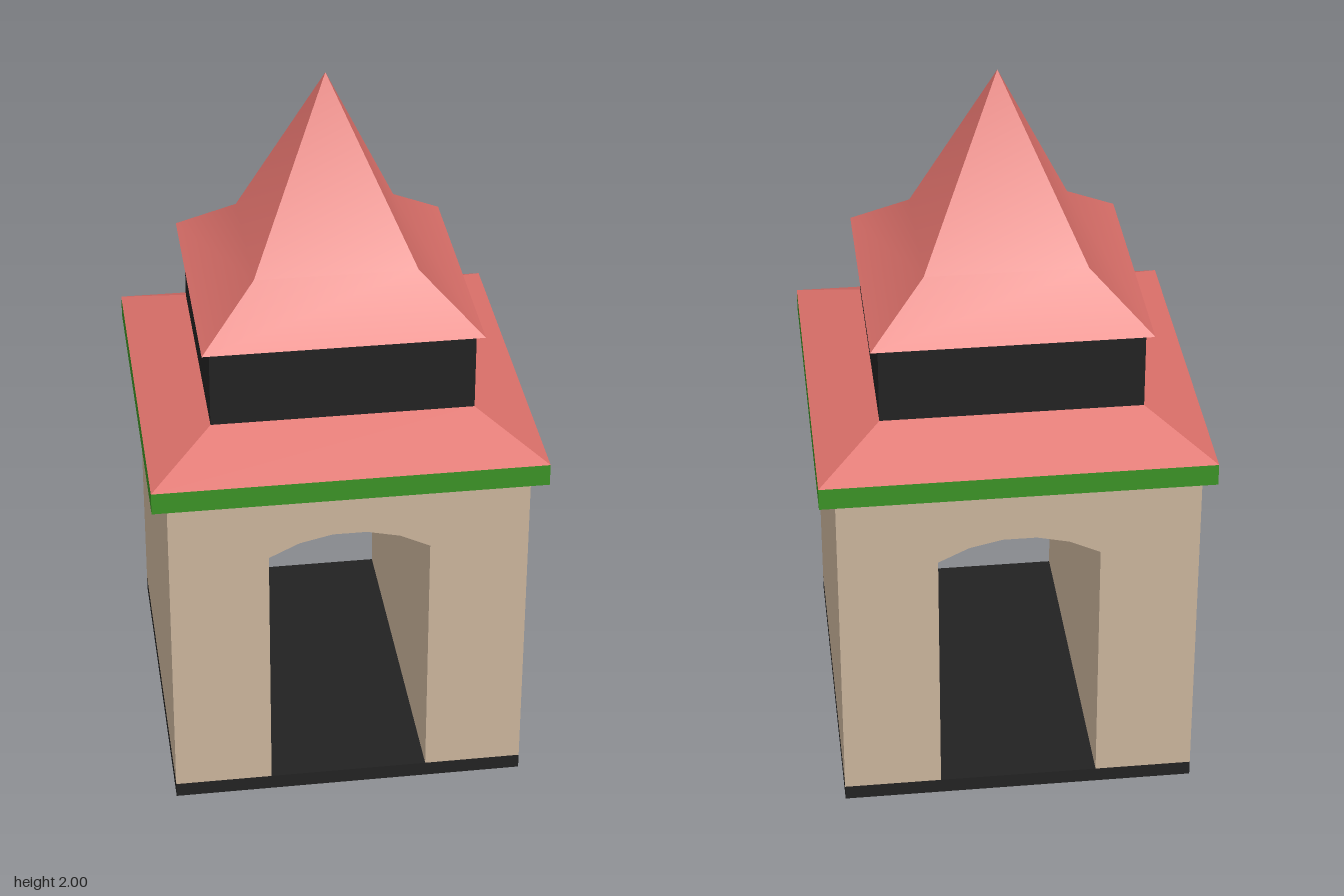
import * as THREE from 'three';
import { toCreasedNormals } from 'three/addons/utils/BufferGeometryUtils.js';

const material = (name, color) => {
  const m = new THREE.MeshStandardMaterial({ color });
  m.name = name;
  return m;
};

// Square hipped roof from [half width, height] levels: each side is smooth, hips stay sharp
function hipRoof(levels) {
  const pos = [], index = [];
  for (let side = 0; side < 4; side++) {
    const c = Math.round(Math.cos(side * Math.PI / 2));
    const s = Math.round(Math.sin(side * Math.PI / 2));
    const start = pos.length / 3;
    for (const [h, y] of levels) {
      for (const x of [-h, h]) pos.push(c * x + s * h, y, -s * x + c * h);
    }
    for (let i = 0; i < levels.length - 1; i++) {
      const a = start + i * 2;
      index.push(a, a + 1, a + 3);
      if (levels[i + 1][0] > 0) index.push(a, a + 3, a + 2);
    }
  }
  // Underside
  const [h, y] = levels[0];
  const b = pos.length / 3;
  pos.push(-h, y, -h, h, y, -h, h, y, h, -h, y, h);
  index.push(b, b + 1, b + 2, b, b + 2, b + 3);
  const geo = new THREE.BufferGeometry();
  geo.setAttribute('position', new THREE.Float32BufferAttribute(pos, 3));
  geo.setIndex(index);
  geo.computeVertexNormals();
  return geo;
}

// Walls with an arched passage running front to back
function archedWalls(half, bottom, top, zBack, zFront) {
  const door = 0.222, spring = 0.798, rise = 0.064, steps = 5;
  const radius = (door * door + rise * rise) / (2 * rise);
  const spread = Math.asin(door / radius);
  const shape = new THREE.Shape();
  shape.moveTo(-half, bottom);
  shape.lineTo(-door, bottom);
  for (let i = 0; i <= steps; i++) {
    const a = spread * (2 * i / steps - 1);
    shape.lineTo(radius * Math.sin(a), spring + rise - radius * (1 - Math.cos(a)));
  }
  shape.lineTo(door, bottom);
  shape.lineTo(half, bottom);
  shape.lineTo(half, top);
  shape.lineTo(-half, top);
  shape.closePath();
  const geo = new THREE.ExtrudeGeometry(shape, { depth: zFront - zBack, bevelEnabled: false });
  geo.translate(0, 0, zBack);
  return toCreasedNormals(geo, 0.5);
}

export function createModel() {
  const stone = material('stone', 0xc8b29a);
  const red = material('red roof', 0xdc706a);
  const green = material('green trim', 0x3a9025);
  const black = material('black', 0x222222);

  const model = new THREE.Group();
  model.name = 'gatehouse';
  const add = (name, geo, mat) => {
    const mesh = new THREE.Mesh(geo, mat);
    mesh.name = name;
    model.add(mesh);
  };
  const box = (w, y0, y1, z0, z1) =>
    new THREE.BoxGeometry(w, y1 - y0, z1 - z0).translate(0, (y0 + y1) / 2, (z0 + z1) / 2);

  // Body: the back wall is flush with the trim, the front is set in
  add('base', box(0.99, 0, 0.043, -0.537, 0.498), black);
  add('walls', archedWalls(0.495, 0.043, 0.995, -0.537, 0.498), stone);
  add('trim', box(1.076, 0.995, 1.058, -0.538, 0.538), green);

  // Roof tiers
  add('lowerRoof', hipRoof([[0.538, 1.058], [0.36, 1.15]]), red);
  add('lanternBand', box(0.72, 1.145, 1.376, -0.36, 0.36), black);
  add('upperRoof', hipRoof([[0.381, 1.375], [0.223, 1.508], [0, 2]]), red);

  return model;
}
